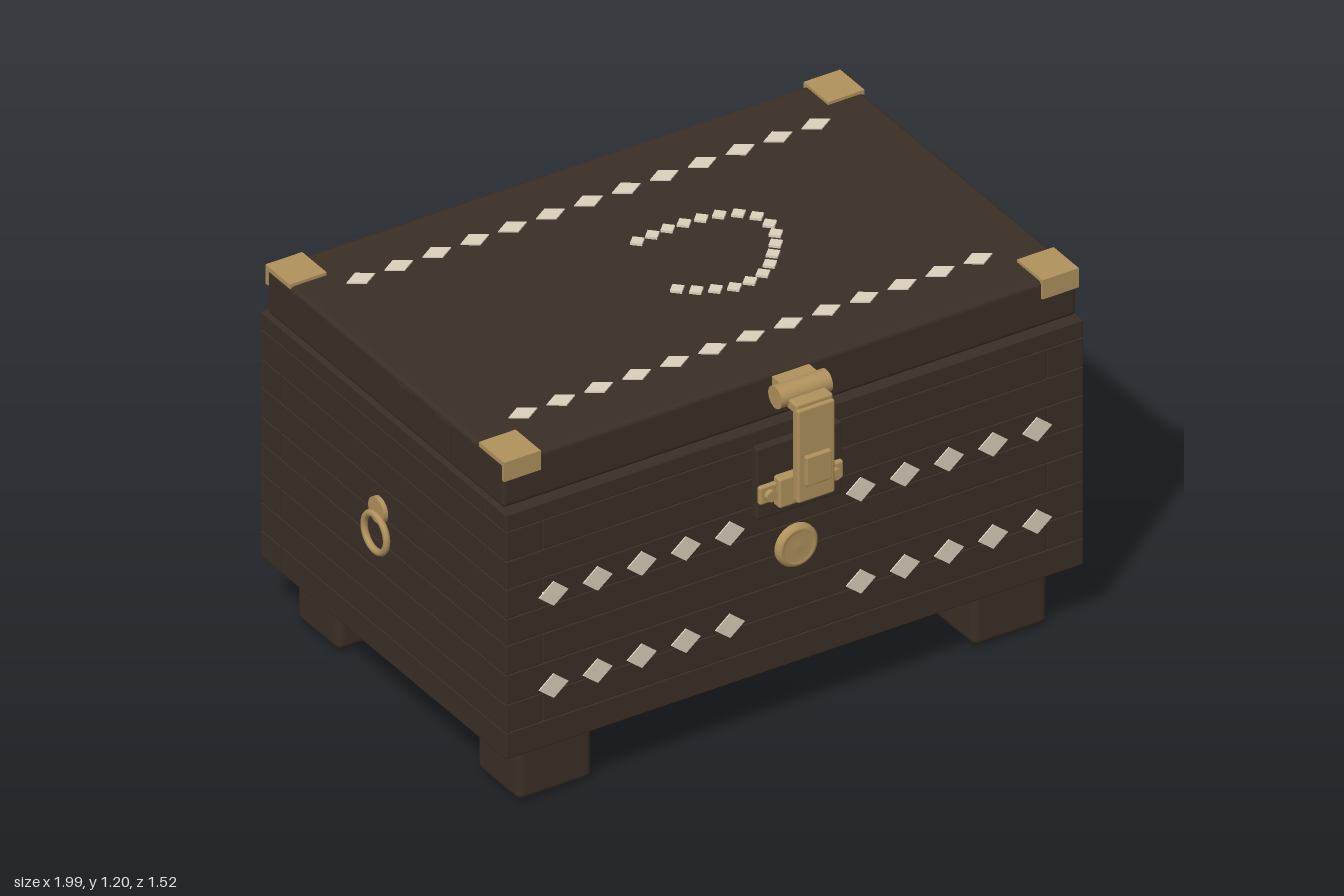
import * as THREE from 'three';
import { RoundedBoxGeometry } from 'three/addons/geometries/RoundedBoxGeometry.js';

const wood = new THREE.MeshStandardMaterial({ color: 0x3a2f26 });
wood.name = 'dark wood';
const brass = new THREE.MeshStandardMaterial({ color: 0xb0925c });
brass.name = 'aged brass';
const ivory = new THREE.MeshStandardMaterial({ color: 0xdccfbc });
ivory.name = 'ivory inlay';

export function createModel() {
  const chest = new THREE.Group();
  chest.name = 'chest';
  const CX = 0.0125; // middle of the body across x

  const add = (name, geometry, material, x = 0, y = 0, z = 0, parent = chest) => {
    const mesh = new THREE.Mesh(geometry, material);
    mesh.name = name;
    mesh.position.set(x, y, z);
    parent.add(mesh);
    return mesh;
  };
  // Box given by its limits on each axis; r rounds the edges
  const block = (name, material, [x0, x1], [y0, y1], [z0, z1], r = 0, seg = 1) => {
    const size = [x1 - x0, y1 - y0, z1 - z0];
    const geo = r ? new RoundedBoxGeometry(...size, seg, r) : new THREE.BoxGeometry(...size);
    return add(name, geo, material, (x0 + x1) / 2, (y0 + y1) / 2, (z0 + z1) / 2);
  };
  const rod = (name, material, radius, length, x, y, z, axis) => {
    const geo = new THREE.CylinderGeometry(radius, radius, length, 24);
    if (axis === 'x') geo.rotateZ(Math.PI / 2);
    if (axis === 'z') geo.rotateX(Math.PI / 2);
    return add(name, geo, material, x, y, z);
  };

  // Interlocking plank walls: rows alternate which wall runs through the corner
  const X = [-0.97, 0.995], Z = [-0.68, 0.63], TX = 0.125, TZ = 0.105;
  const rows = [0.205, 0.295, 0.39, 0.49, 0.59, 0.68, 0.78, 0.875, 0.975, 1.033];
  for (let i = 0; i < rows.length - 1; i++) {
    const y = [rows[i], rows[i + 1]];
    const frontThrough = i % 2 === 0;
    const px = frontThrough ? X : [X[0] + TX, X[1] - TX];
    const pz = frontThrough ? [Z[0] + TZ, Z[1] - TZ] : Z;
    block('frontPlank', wood, px, y, [Z[1] - TZ, Z[1]], 0.005);
    block('backPlank', wood, px, y, [Z[0], Z[0] + TZ], 0.005);
    block('leftPlank', wood, [X[1] - TX, X[1]], y, pz, 0.005);
    block('rightPlank', wood, [X[0], X[0] + TX], y, pz, 0.005);
  }
  block('floor', wood, [-0.87, 0.895], [0.17, 0.24], [-0.58, 0.53], 0.01);

  // Feet
  for (const x of [-0.762, 0.787])
    for (const z of [-0.503, 0.458])
      add('foot', new RoundedBoxGeometry(0.255, 0.187, 0.226, 3, 0.025), wood, x, 0.0935, z);

  // Lid with end battens
  block('lid', wood, [-0.963, 0.988], [1.038, 1.19], [-0.655, 0.605], 0.015, 3);
  for (const x of [-0.963, 0.988])
    for (const z of [0.287, 0.083])
      add('lidBatten', new THREE.BoxGeometry(0.008, 0.115, 0.085), wood, x, 1.117, z);

  // Corner brackets: one plate on top, one folded over the edge
  for (const [x0, x1] of [[-0.965, -0.84], [0.866, 0.99]])
    for (const [zIn, zOut] of [[0.477, 0.612], [-0.53, -0.66]]) {
      const s = Math.sign(zOut);
      block('cornerTop', brass, [x0, x1], [1.185, 1.2], [Math.min(zIn, zOut), Math.max(zIn, zOut)]);
      const a = zOut - 0.012 * s;
      block('cornerLip', brass, [x0, x1], [1.135, 1.2], [Math.min(a, zOut), Math.max(a, zOut)]);
    }

  // Diamond inlays
  const diamond = (w, h) => {
    const s = new THREE.Shape([[w / 2, 0], [0, h / 2], [-w / 2, 0], [0, -h / 2]]
      .map(p => new THREE.Vector2(...p)));
    return new THREE.ExtrudeGeometry(s, { depth: 0.008, bevelEnabled: false });
  };
  const frontDiamond = diamond(0.1, 0.082);
  for (const y of [0.717, 0.405])
    for (let i = 0; i < 5; i++)
      for (const start of [-0.81, 0.235])
        add('frontInlay', frontDiamond, ivory, start + i * 0.15, y, 0.626);
  const lidDiamond = diamond(0.098, 0.064).rotateX(-Math.PI / 2);
  for (const z of [-0.46, 0.403])
    for (let i = 0; i < 13; i++)
      add('lidInlay', lidDiamond, ivory, -0.768 + i * 0.129, 1.186, z);

  // Curved trail of small diamonds on the lid
  const trail = new THREE.CatmullRomCurve3([
    [0.005, -0.198], [0.12, -0.209], [0.235, -0.203], [0.295, -0.187], [0.348, -0.155],
    [0.375, -0.107], [0.374, -0.06], [0.358, -0.011], [0.3, 0.064], [0.23, 0.134],
    [0.17, 0.155], [0.107, 0.16], [0.053, 0.139], [0, 0.112], [-0.037, 0.08],
  ].map(([x, z]) => new THREE.Vector3(x, 1.191, z)));
  const smallDiamond = diamond(0.05, 0.05).rotateX(-Math.PI / 2);
  trail.getSpacedPoints(18).forEach(p => add('trailInlay', smallDiamond, ivory, p.x, p.y, p.z));

  // Latch: backing plate, staple with ears, hinged strap
  block('latchPlate', wood, [-0.132, 0.158], [0.745, 0.985], [0.62, 0.655], 0.006);
  block('staple', brass, [-0.075, 0.1], [0.78, 0.88], [0.64, 0.685], 0.008, 2);
  block('stapleEars', brass, [-0.13, 0.155], [0.8, 0.862], [0.64, 0.668], 0.008, 2);
  for (const x of [-0.098, 0.123]) rod('stapleScrew', brass, 0.018, 0.03, x, 0.83, 0.668, 'z');
  block('strap', brass, [-0.05, 0.077], [0.82, 1.135], [0.712, 0.745], 0.008, 2);
  block('strapTop', brass, [-0.05, 0.077], [1.115, 1.15], [0.66, 0.735], 0.008, 2);
  block('strapPad', brass, [-0.03, 0.057], [0.88, 0.978], [0.735, 0.76], 0.005);
  rod('latchBarrel', brass, 0.036, 0.175, CX, 1.147, 0.66, 'x');
  block('latchMount', brass, [-0.05, 0.077], [1.11, 1.18], [0.6, 0.65]);

  // Round boss below the latch
  const boss = new THREE.LatheGeometry([
    [0.07, 0], [0.07, 0.012], [0.062, 0.022], [0.052, 0.024], [0.05, 0.018], [0, 0.022],
  ].map(p => new THREE.Vector2(...p)), 32).rotateX(Math.PI / 2);
  add('boss', boss, brass, CX, 0.607, 0.63);

  // Back hinges
  for (const x of [-0.585, 0.608]) {
    const w = [x - 0.073, x + 0.073];
    rod('hingeBarrel', brass, 0.038, 0.22, x, 1.03, -0.72, 'x');
    block('hingeUpperLeaf', brass, w, [1.03, 1.122], [-0.73, -0.645], 0.006);
    block('hingeLowerLeaf', brass, w, [0.795, 1.01], [-0.706, -0.675], 0.005);
  }

  // Ring pull on the right end
  rod('ringMount', brass, 0.042, 0.02, -0.975, 0.702, -0.04, 'x');
  const ring = new THREE.TorusGeometry(0.06, 0.011, 10, 32).rotateY(Math.PI / 2);
  add('ringPull', ring, brass, -0.987, 0.627, -0.04);

  return chest;
}
